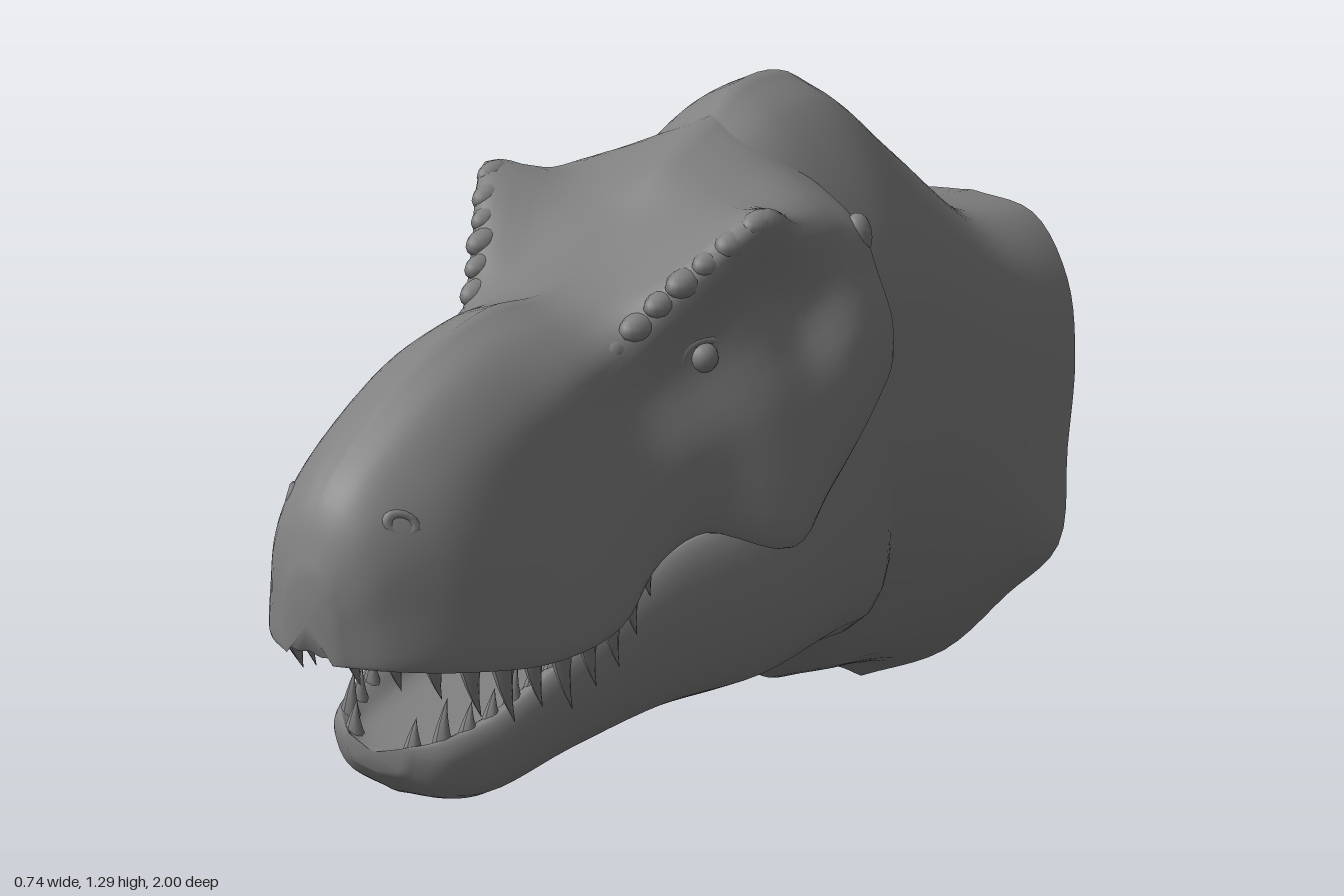
import * as THREE from 'three';

const hide = new THREE.MeshStandardMaterial({ color: 0x808080, side: THREE.DoubleSide });
hide.name = 'grey hide';

const V = (x, y, z) => new THREE.Vector3(x, y, z);
const smooth = (pts, sub) => new THREE.CatmullRomCurve3(pts).getPoints((pts.length - 1) * sub);

// Smooth skin over half sections (top to bottom on the +x side), mirrored into closed rings
function loft(sections, capFront, sub = 5) {
  const columns = sections[0].map((_, k) => smooth(sections.map(s => s[k]), sub));
  const rings = columns[0].map((_, i) => {
    const half = smooth(columns.map(c => c[i]), sub);
    const mirrored = half.slice(1, -1).reverse().map(p => V(-p.x, p.y, p.z));
    return [...half, ...mirrored];
  });
  const n = rings[0].length, pos = [], idx = [];
  rings.forEach(r => r.forEach(p => pos.push(p.x, p.y, p.z)));
  for (let i = 0; i < rings.length - 1; i++) {
    for (let j = 0; j < n; j++) {
      const a = i * n + j, b = i * n + (j + 1) % n;
      idx.push(a, b, a + n, b, b + n, a + n);
    }
  }
  if (capFront) {
    const c = V(0, 0, 0), m = pos.length / 3;
    rings[0].forEach(p => c.addScaledVector(p, 1 / n));
    pos.push(c.x, c.y, c.z + .004);
    for (let j = 0; j < n; j++) idx.push(m, (j + 1) % n, j);
  }
  const g = new THREE.BufferGeometry();
  g.setAttribute('position', new THREE.Float32BufferAttribute(pos, 3));
  g.setIndex(idx);
  g.computeVertexNormals();
  return g;
}

// Skull: z, crown y, then x,y of shoulder, brow edge, eye socket, cheek, lip
const SKULL = [
  [.995, .79, .015, .785, .03, .77, .04, .74, .045, .70, .045, .66],
  [.95, .895, .04, .885, .075, .855, .10, .80, .11, .73, .115, .652],
  [.85, .975, .055, .96, .105, .915, .145, .85, .175, .75, .185, .63],
  [.70, 1.05, .07, 1.025, .13, .96, .165, .88, .205, .75, .23, .60],
  [.55, 1.08, .08, 1.045, .145, .985, .175, .90, .22, .76, .245, .605],
  [.42, 1.065, .09, 1.045, .155, 1.01, .175, .92, .22, .79, .23, .665],
  [.32, 1.08, .11, 1.08, .205, 1.09, .205, .96, .25, .82, .25, .685],
  [.19, 1.13, .14, 1.145, .28, 1.185, .255, 1.03, .31, .85, .335, .635],
  [.08, 1.20, .13, 1.17, .265, 1.14, .265, 1.0, .33, .87, .33, .69],
  [-.04, 1.245, .12, 1.195, .26, 1.12, .30, 1.02, .338, .91, .337, .79],
  [-.12, 1.255, .10, 1.19, .26, 1.09, .30, 1.01, .33, .93, .325, .85],
  [-.16, 1.245, .09, 1.18, .20, 1.08, .255, .99, .28, .91, .28, .84],
];
// Jaw: z, mouth floor y, then x,y of rim, side, underside, and keel y
const JAW = [
  [.86, .455, .05, .47, .055, .455, .045, .43, .42],
  [.82, .455, .10, .48, .115, .45, .09, .39, .37],
  [.74, .46, .13, .49, .148, .45, .12, .365, .335],
  [.55, .48, .165, .55, .185, .49, .145, .37, .335],
  [.35, .50, .20, .645, .235, .54, .19, .38, .335],
  [.15, .54, .27, .69, .305, .53, .25, .37, .315],
  [-.02, .62, .295, .79, .333, .60, .295, .40, .27],
  [-.12, .71, .295, .83, .325, .63, .295, .39, .235],
  [-.22, .72, .265, .80, .285, .60, .255, .38, .20],
];
// Neck: z at top, z at bottom, top y, then x,y pairs down the side, bottom y
const NECK = [
  [-.04, -.06, 1.235, .09, 1.20, .19, 1.09, .255, .96, .275, .83, .285, .64, .26, .45, .15, .32, .26],
  [-.15, -.15, 1.29, .09, 1.24, .19, 1.12, .265, .97, .29, .83, .303, .65, .275, .45, .16, .29, .21],
  [-.31, -.27, 1.275, .09, 1.235, .20, 1.11, .28, .95, .305, .80, .315, .60, .27, .40, .17, .22, .13],
  [-.50, -.41, 1.14, .10, 1.11, .20, 1.02, .28, .88, .31, .73, .318, .55, .27, .34, .16, .17, .09],
  [-.73, -.51, .955, .13, .94, .24, .87, .30, .76, .325, .62, .335, .45, .28, .28, .16, .13, .06],
  [-1.0, -.61, .90, .14, .88, .25, .78, .31, .65, .34, .50, .365, .33, .28, .22, .17, .09, 0],
];

const pairs = (a, z) => {
  const out = [];
  for (let i = 0; i < a.length; i += 2) out.push(V(a[i], a[i + 1], z));
  return out;
};
const skullSection = ([z, top, ...p]) => {
  const [lx, ly] = p.slice(-2);
  const palate = Math.min(ly + Math.min(.075, lx * .3), .73);
  return [V(0, top, z), ...pairs(p, z), V(lx * .85, ly + .01, z), V(lx * .5, palate - .005, z), V(0, palate, z)];
};
const jawSection = ([z, floor, ...p]) => {
  const keel = p.pop();
  return [V(0, floor, z), V(p[0] * .6, floor + .005, z), V(p[0] * .86, p[1] - .005, z), ...pairs(p, z), V(0, keel, z)];
};
const neckSection = ([zt, zb, top, ...p]) => {
  const bottom = p.pop();
  const half = [V(0, top, 0), ...pairs(p, 0), V(0, bottom, 0)];
  half.forEach(q => {
    const t = (top - q.y) / (top - bottom);
    q.z = zt + (zb - zt) * t + .045 * Math.sin(Math.PI * t);
  });
  return half;
};

export function createModel() {
  const model = new THREE.Group();
  const add = (name, geo, x = 0, y = 0, z = 0) => {
    const m = new THREE.Mesh(geo, hide);
    m.name = name;
    m.position.set(x, y, z);
    model.add(m);
    return m;
  };

  // Main skins; the neck is a hollow sleeve open at the back
  add('skull', loft(SKULL.map(skullSection), true));
  add('lowerJaw', loft(JAW.map(jawSection), true));
  add('neck', loft(NECK.map(neckSection), false));

  // Tongue
  add('tongue', new THREE.SphereGeometry(1, 20, 12), 0, .545, .36).scale.set(.08, .065, .3);

  // Teeth: stout cones bent backwards toward the tip; dir -1 hangs down, 1 stands up
  const tooth = (name, x, y, z, length, radius, dir) => {
    const g = new THREE.ConeGeometry(radius, length, 8, 4);
    g.translate(0, length / 2, 0);
    const p = g.attributes.position;
    for (let i = 0; i < p.count; i++) {
      const t = p.getY(i) / length;
      p.setY(i, p.getY(i) * dir);
      p.setX(i, p.getX(i) * dir);
      p.setZ(i, p.getZ(i) - .22 * length * t * t);
    }
    g.computeVertexNormals();
    add(name, g, x, y, z);
  };
  const upperLip = new THREE.CatmullRomCurve3(SKULL.slice(0, 6).map(s => V(s[10] * .87, s[11] + .025, s[0] - .02)));
  const lowerRim = new THREE.CatmullRomCurve3(JAW.slice(0, 5).map(s => V(s[2] * .9, s[3] - .015, s[0] - .01)));
  const upperLengths = [.07, .075, .09, .125, .14, .12, .14, .12, .115, .10, .08];
  for (const side of [-1, 1]) {
    upperLengths.forEach((len, i) => {
      const p = upperLip.getPointAt(.03 + i * .092);
      tooth('upperTooth', side * p.x, p.y, p.z, len, .012 + len * .08, -1);
    });
    for (let i = 0; i < 11; i++) {
      const p = lowerRim.getPointAt(.03 + i * .08);
      tooth('lowerTooth', side * p.x, p.y, p.z, .055 + .02 * (i % 3 === 1), .017, 1);
    }

    // Eye with heavy lids
    add('eye', new THREE.SphereGeometry(.026, 16, 12), side * .214, .963, .28);
    const lid = add('eyelid', new THREE.TorusGeometry(.032, .009, 8, 20), side * .214, .963, .28);
    lid.rotation.y = side * 1.15;
    lid.scale.set(1.25, .9, 1);

    // Nostril rim
    const nostril = add('nostril', new THREE.TorusGeometry(.018, .008, 8, 16), side * .103, .865, .9);
    nostril.rotation.set(-.5, side * .9, 0);
    nostril.scale.set(1.2, .8, 1);

    // Rough, mostly sunken knobs along the ridge from muzzle to brow horn
    const ridge = new THREE.CatmullRomCurve3(SKULL.slice(3, 8).map(s => V(s[4] - .02, s[5] - .018, s[0])));
    for (let i = 0; i < 13; i++) {
      const p = ridge.getPointAt(i / 12);
      add('browKnob', new THREE.SphereGeometry(.026 + .003 * (i % 2), 12, 8), side * p.x, p.y, p.z).scale.set(.9, .85, 1.5);
    }

    // Ear knob at the rear corner of the cheek
    add('earKnob', new THREE.SphereGeometry(.032, 14, 10), side * .262, 1.07, -.11).scale.set(.8, 1.3, .9);
  }
  return model;
}
